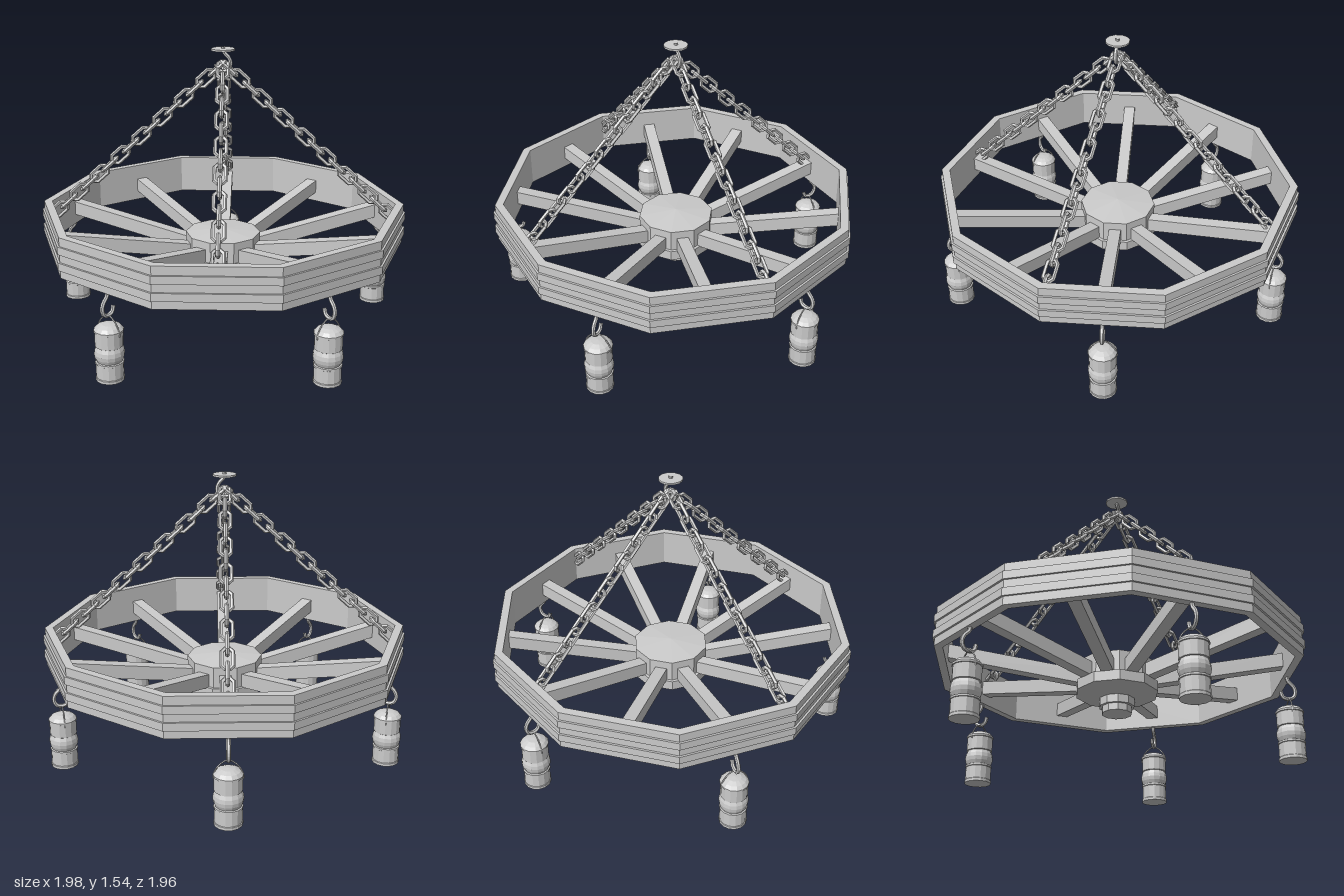
import * as THREE from 'three';

const SIDES = 10;
const STEP = (Math.PI * 2) / SIDES;
const TURN = THREE.MathUtils.degToRad(5.2); // angle of the first rim corner
const material = new THREE.MeshStandardMaterial({ color: 0xcccccc, flatShading: true });

function part(name, geometry, parent) {
  const mesh = new THREE.Mesh(geometry, material);
  mesh.name = name;
  parent.add(mesh);
  return mesh;
}

// Revolve [radius, height] pairs, listed so that the outside runs upwards
function lathe(points, sides, phi = 0) {
  return new THREE.LatheGeometry(points.map(([r, y]) => new THREE.Vector2(r, y)), sides, phi);
}

function tube(points, segments, radius, sides) {
  const curve = new THREE.CatmullRomCurve3(points.map((p) => new THREE.Vector3(...p)));
  return new THREE.TubeGeometry(curve, segments, radius, sides);
}

// Group whose local +x points outward at the given angle round the wheel
function spokeGroup(name, angle, parent) {
  const group = new THREE.Group();
  group.name = name;
  group.rotation.y = -angle;
  parent.add(group);
  return group;
}

// Chain link: an octagonal ring with its two halves pulled apart along x
function linkGeometry() {
  const geometry = new THREE.TorusGeometry(0.03, 0.011, 5, 8);
  geometry.rotateZ(Math.PI / 8);
  const pos = geometry.attributes.position;
  for (let i = 0; i < pos.count; i++) pos.setX(i, pos.getX(i) + Math.sign(pos.getX(i)) * 0.026);
  return geometry;
}

// Hook in the local xy plane, bowl centred on the origin
const hookGeometry = tube([
  [0, 0.095, 0], [0.004, 0.065, 0], [0.03, 0.035, 0], [0.04, 0.004, 0], [0.028, -0.028, 0],
  [0, -0.038, 0], [-0.028, -0.028, 0], [-0.039, 0.004, 0],
], 18, 0.011, 6);

const lanternGeometry = lathe([
  [0, 0], [0.073, 0], [0.073, 0.015], [0.07, 0.018], [0.07, 0.088], [0.073, 0.09], [0.073, 0.1],
  [0.066, 0.103], [0.074, 0.122], [0.077, 0.142], [0.074, 0.163], [0.066, 0.182],
  [0.071, 0.185], [0.071, 0.258], [0.075, 0.26], [0.075, 0.27], [0.06, 0.287], [0.035, 0.298], [0, 0.302],
], 14);

const handleGeometry = tube([
  [0, 0.245, -0.073], [0, 0.275, -0.069], [0, 0.315, -0.045], [0, 0.342, 0],
  [0, 0.315, 0.045], [0, 0.275, 0.069], [0, 0.245, 0.073],
], 16, 0.004, 5);

function addChain(parent, angle, endRadius, endY, link) {
  const chain = spokeGroup('chain', angle, parent);
  const start = new THREE.Vector3(0.01, 1.445, 0);
  const end = new THREE.Vector3(endRadius, endY, 0);
  const slope = Math.atan2(end.y - start.y, end.x - start.x);
  const count = 16;
  for (let i = 0; i < count; i++) {
    const mesh = part('chainLink', link, chain);
    mesh.position.lerpVectors(start, end, (i + 0.4) / count);
    mesh.rotation.order = 'ZYX';
    mesh.rotation.z = slope;
    mesh.rotation.x = i % 2 ? 0 : Math.PI / 2;
  }
}

export function createModel() {
  const model = new THREE.Group();
  model.name = 'wheelChandelier';
  const phi = Math.PI / 2 - TURN - 2 * STEP;

  // Ten-sided rim with two raised bands
  part('rim', lathe([
    [0.94, 0.465], [0.985, 0.465], [0.985, 0.508], [0.996, 0.508], [0.996, 0.55], [0.985, 0.55],
    [0.985, 0.594], [0.996, 0.594], [0.996, 0.636], [0.985, 0.636], [0.985, 0.682],
    [0.94, 0.682], [0.94, 0.465],
  ], SIDES, phi), model);

  // Hub with stepped finial and low conical top
  part('hub', lathe([
    [0, 0.235], [0.08, 0.235], [0.08, 0.272], [0.095, 0.272], [0.095, 0.315], [0.11, 0.315],
    [0.222, 0.345], [0.222, 0.4], [0.205, 0.4], [0.205, 0.515], [0, 0.535],
  ], SIDES, phi), model);

  // Spokes rise from the hub to the middle of each rim face
  const inner = new THREE.Vector2(0.16, 0.427);
  const outer = new THREE.Vector2(0.905, 0.559);
  const spokeLength = inner.distanceTo(outer);
  const spokeGeometry = new THREE.BoxGeometry(spokeLength, 0.075, 0.065);
  for (let i = 0; i < SIDES; i++) {
    const group = spokeGroup('spoke', TURN + (i + 0.5) * STEP, model);
    const beam = part('spokeBeam', spokeGeometry, group);
    beam.position.set((inner.x + outer.x) / 2, (inner.y + outer.y) / 2, 0);
    beam.rotation.z = Math.atan2(outer.y - inner.y, outer.x - inner.x);
  }

  // Lanterns hang from hooks under every second rim face
  for (let i = 1; i < SIDES; i += 2) {
    const group = spokeGroup('hangingLantern', TURN + (i + 0.5) * STEP, model);
    part('lanternHook', hookGeometry, group).position.set(0.917, 0.38, 0);
    part('lantern', lanternGeometry, group).position.x = 0.917;
    part('lanternHandle', handleGeometry, group).position.x = 0.917;
  }

  // Ceiling plate and hook
  part('ceilingPlate', new THREE.CylinderGeometry(0.063, 0.063, 0.01, 12), model).position.y = 1.525;
  part('ceilingHook', hookGeometry, model).position.y = 1.447;

  // Four chains: two to rim corners, two to rim faces
  const link = linkGeometry();
  for (let i = 0; i < 4; i++) {
    const toCorner = i % 2 === 0;
    addChain(model, TURN + (i * Math.PI) / 2, toCorner ? 0.94 : 0.9, toCorner ? 0.6 : 0.575, link);
  }
  return model;
}
